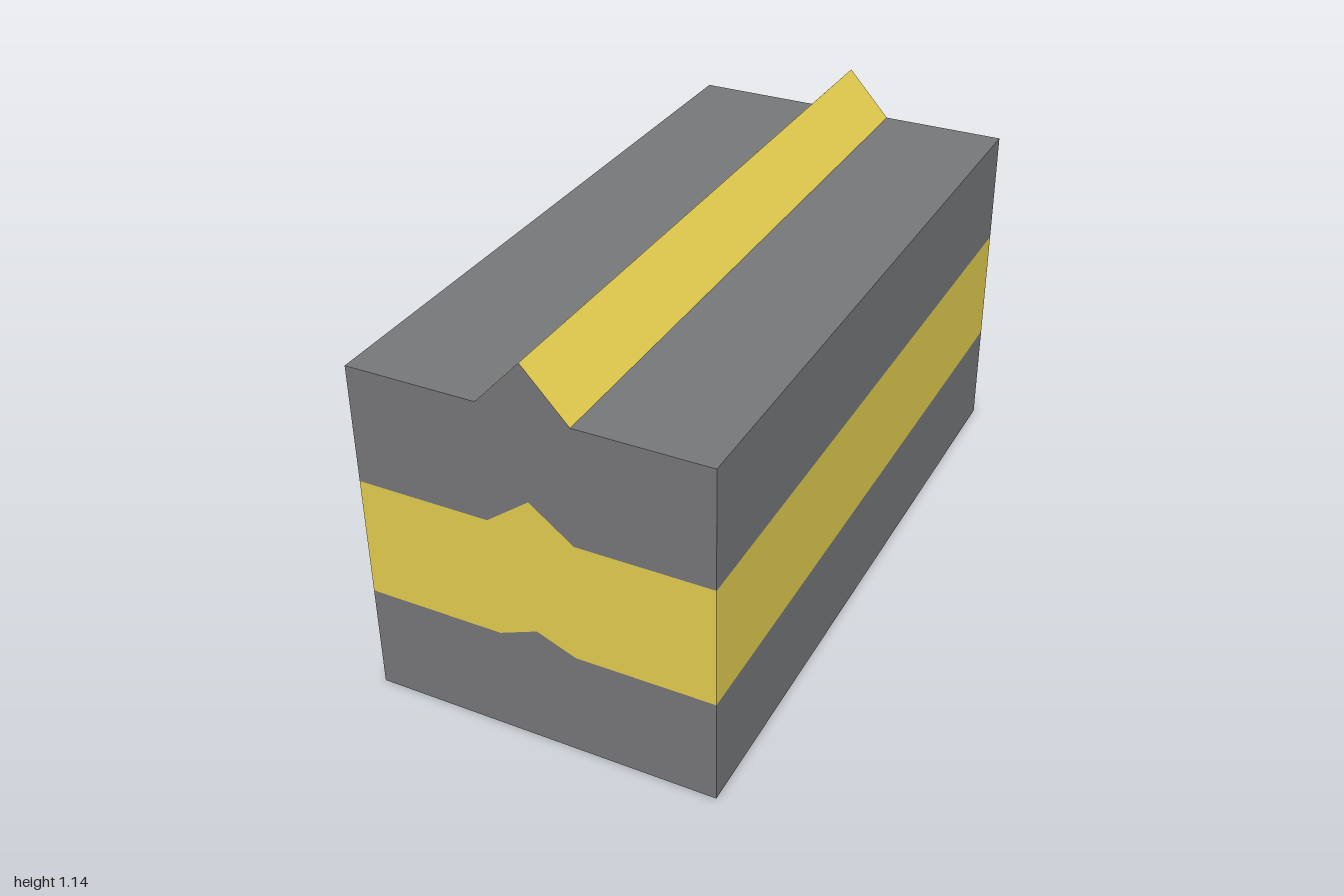
import * as THREE from 'three';

const LENGTH = 2, HALF = 0.5;

// Boundary between layers, left to right: flat with a peaked bump in the middle
const boundary = (y, halfBump, peak) => [
  [-HALF, y], [-halfBump, y], [0, peak], [halfBump, y], [HALF, y],
];
const flat = (y) => [[-HALF, y], [HALF, y]];

export function createModel() {
  const group = new THREE.Group();
  const grey = new THREE.MeshStandardMaterial({ color: 0x77787b });
  const yellow = new THREE.MeshStandardMaterial({ color: 0xe5ce50 });

  // Extrude an outline along z, centred
  function addPrism(name, points, material) {
    const shape = new THREE.Shape(points.map(([x, y]) => new THREE.Vector2(x, y)));
    const geometry = new THREE.ExtrudeGeometry(shape, { depth: LENGTH, bevelEnabled: false });
    geometry.translate(0, 0, -LENGTH / 2);
    const mesh = new THREE.Mesh(geometry, material);
    mesh.name = name;
    group.add(mesh);
  }

  // Stacked layers, each filling the space between two boundaries
  const levels = [flat(0), boundary(0.31, 0.11, 0.355), boundary(0.66, 0.122, 0.752), flat(1)];
  const layers = [['bottomLayer', grey], ['middleLayer', yellow], ['topLayer', grey]];
  layers.forEach(([name, material], i) => {
    addPrism(name, [...levels[i], ...[...levels[i + 1]].reverse()], material);
  });

  // Ridge along the top: grey ends, yellow slopes
  addPrism('topRidge', [[-0.13, 1], [0.128, 1], [0, 1.14]], [grey, yellow]);

  return group;
}
